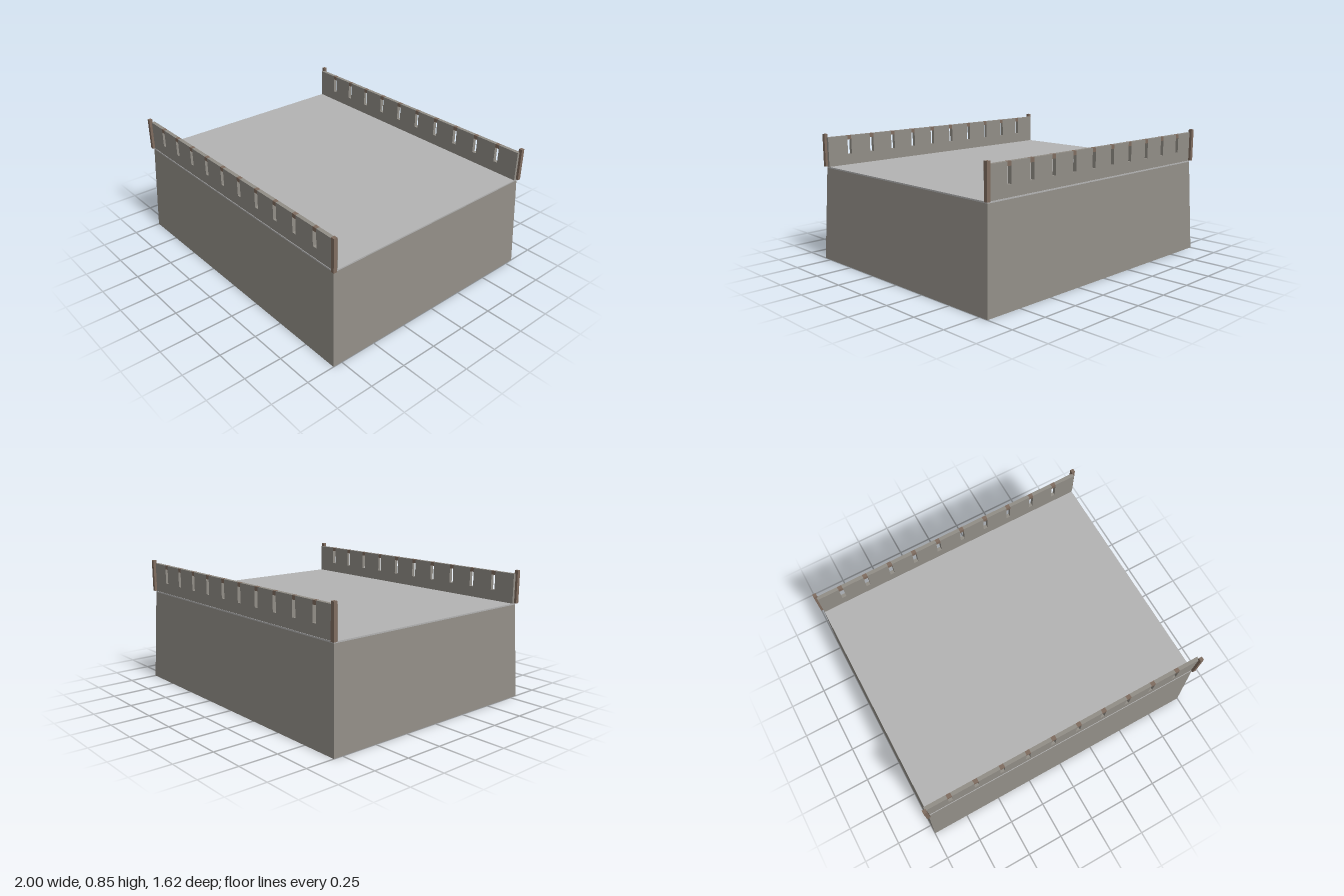
import * as THREE from 'three';

const DECK = 0.635, WALL_TOP = 0.832, WALL_Z = 0.758, WALL_T = 0.025;
const SLOTS = 10, PITCH = 0.179, SLOT_W = 0.03, SLOT_Y = 0.706, LINTEL_Y = 0.806;

export function createModel() {
  const stone = new THREE.MeshStandardMaterial({ color: 0x918d86, side: THREE.DoubleSide });
  stone.name = 'stone';
  const paving = new THREE.MeshStandardMaterial({ color: 0xb3b3b3 });
  paving.name = 'paving';
  const brick = new THREE.MeshStandardMaterial({ color: 0x7f6c5f });
  brick.name = 'brick';

  const root = new THREE.Group();
  root.name = 'rampart';
  const add = (parent, name, geometry, material, x = 0, y = 0, z = 0) => {
    const mesh = new THREE.Mesh(geometry, material);
    mesh.name = name;
    mesh.position.set(x, y, z);
    parent.add(mesh);
    return mesh;
  };

  // Sloping walls of the base, open underneath
  const h = DECK - 0.009;
  const baseGeo = new THREE.CylinderGeometry(0.968 * Math.SQRT2, Math.SQRT2, h, 4, 1, true)
    .rotateY(Math.PI / 4).scale(1, 1, 0.812).toNonIndexed();
  baseGeo.computeVertexNormals();
  add(root, 'base', baseGeo, stone, 0, h / 2, 0);

  // Thin deck closing the top
  add(root, 'deck', new THREE.BoxGeometry(1.936, 0.009, 1.572), paving, 0, DECK - 0.0045, 0);

  // Parapet outline, notched from the top at each slot
  const outline = new THREE.Shape();
  outline.moveTo(-0.968, DECK);
  outline.lineTo(0.968, DECK);
  outline.lineTo(0.968, WALL_TOP);
  const slotX = Array.from({ length: SLOTS }, (_, i) => ((SLOTS - 1) / 2 - i) * PITCH);
  for (const x of slotX) {
    outline.lineTo(x + SLOT_W / 2, WALL_TOP);
    outline.lineTo(x + SLOT_W / 2, SLOT_Y);
    outline.lineTo(x - SLOT_W / 2, SLOT_Y);
    outline.lineTo(x - SLOT_W / 2, WALL_TOP);
  }
  outline.lineTo(-0.968, WALL_TOP);
  outline.closePath();
  const wallGeo = new THREE.ExtrudeGeometry(outline, { depth: WALL_T, bevelEnabled: false });
  const lintelGeo = new THREE.BoxGeometry(SLOT_W, WALL_TOP - LINTEL_Y, WALL_T);
  const postGeo = new THREE.BoxGeometry(0.024, 0.218, 0.024);

  // Front and back parapets with lintels and end posts
  for (const [side, turn] of [['front', 0], ['back', Math.PI]]) {
    const parapet = new THREE.Group();
    parapet.name = side + 'Parapet';
    parapet.rotation.y = turn;
    add(parapet, 'wall', wallGeo, stone, 0, 0, WALL_Z);
    for (const x of slotX) {
      add(parapet, 'lintel', lintelGeo, brick, x, (WALL_TOP + LINTEL_Y) / 2, WALL_Z + WALL_T / 2);
    }
    for (const s of [-1, 1]) add(parapet, 'post', postGeo, brick, s * 0.972, 0.745, 0.788);
    root.add(parapet);
  }
  return root;
}
